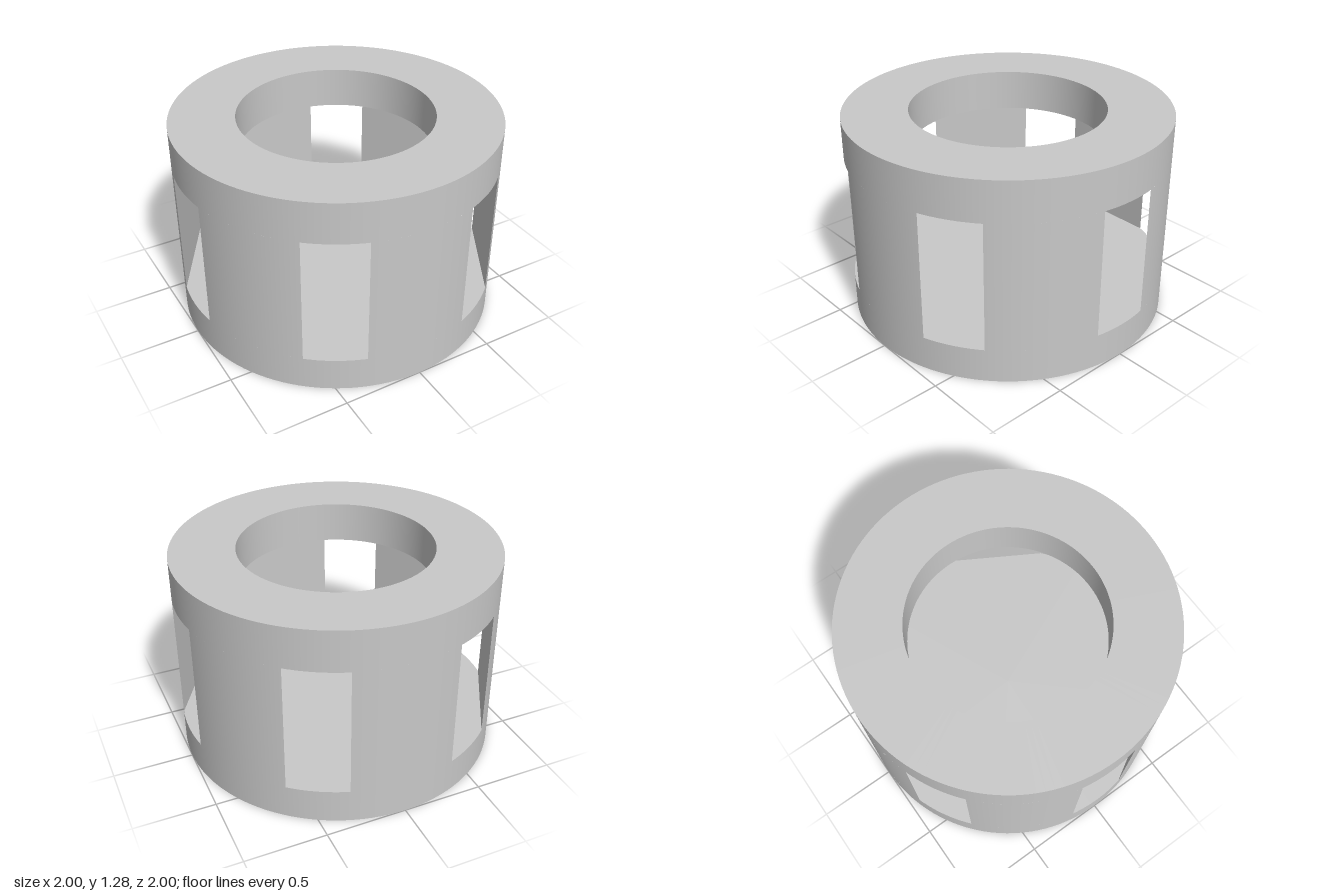
import * as THREE from 'three';
import { mergeGeometries } from 'three/addons/utils/BufferGeometryUtils.js';

const RADIUS = 1, HOLE = 0.6, FLOOR = 0.215, CEILING = 1.03, HEIGHT = 1.285;
const HALF_WINDOW = 0.186;                                // half width of each window
const HALF_POST = Math.PI / 6 - Math.asin(HALF_WINDOW);   // half angle of each post
const CHORD = Math.cos(HALF_POST);                        // distance of a post's flat inner face

// Revolves each straight piece of a profile separately, keeping its edges sharp
function revolve(profile, start = 0, sweep = Math.PI * 2, segments = 120) {
  const bands = [];
  for (let i = 0; i < profile.length - 1; i++) {
    const pair = [profile[i], profile[i + 1]].map(([r, y]) => new THREE.Vector2(r, y));
    bands.push(new THREE.LatheGeometry(pair, segments, start, sweep));
  }
  return mergeGeometries(bands);
}

export function createModel() {
  const model = new THREE.Group();
  model.name = 'windowedDrum';
  const grey = new THREE.MeshStandardMaterial({ color: 0xc8c8c8 });
  grey.name = 'plain grey';

  const add = (name, geometry) => {
    const mesh = new THREE.Mesh(geometry, grey);
    mesh.name = name;
    model.add(mesh);
    return mesh;
  };

  // Solid floor disc
  add('base', revolve([[0, 0], [RADIUS, 0], [RADIUS, FLOOR], [0, FLOOR]]));

  // Top ring with a round opening
  add('topRing', revolve([
    [RADIUS, CEILING], [RADIUS, HEIGHT], [HOLE, HEIGHT], [HOLE, CEILING], [RADIUS, CEILING],
  ]));

  // Six posts, round outside and flat inside, around a hexagonal chamber
  const outer = revolve([[RADIUS, FLOOR], [RADIUS, CEILING]], -HALF_POST, HALF_POST * 2, 16);
  const inner = new THREE.PlaneGeometry(2 * Math.sin(HALF_POST), CEILING - FLOOR);
  inner.rotateY(Math.PI).translate(0, (FLOOR + CEILING) / 2, CHORD);
  const post = mergeGeometries([outer, inner]);
  for (let i = 0; i < 6; i++) {
    add(`post${i + 1}`, post).rotation.y = i * Math.PI / 3;
  }

  return model;
}
